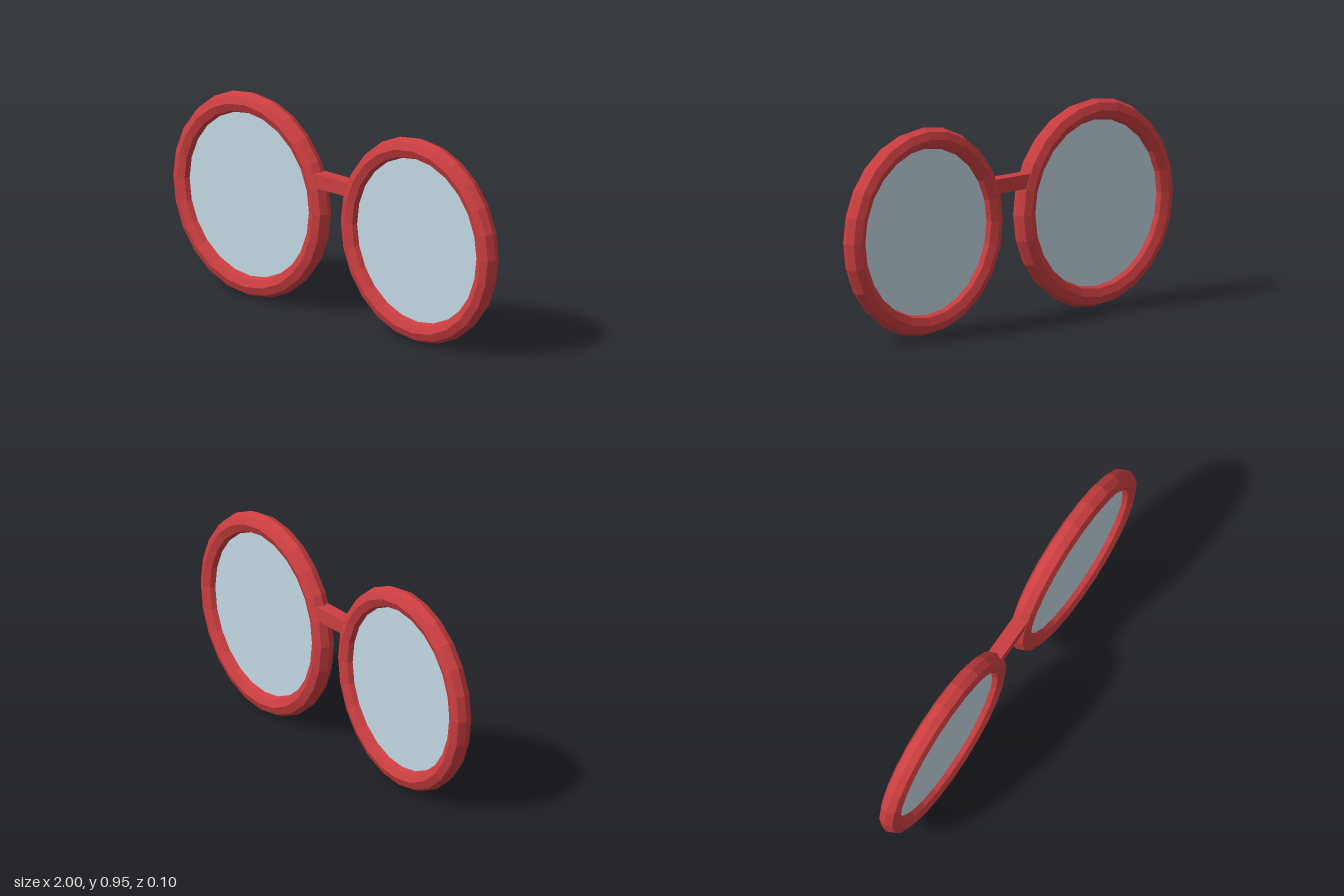
import * as THREE from 'three';

const RING_RADIUS = 0.425, TUBE = 0.05, CENTER_X = 0.525, CENTER_Y = 0.475;

export function createModel() {
  const model = new THREE.Group();
  model.name = 'roundGlasses';

  const frameRed = new THREE.MeshStandardMaterial({ color: 0xcb3e40 });
  frameRed.name = 'frameRed';
  frameRed.flatShading = true;
  const lensBlue = new THREE.MeshStandardMaterial({ color: 0xc2d7e2 });
  lensBlue.name = 'lensBlue';
  lensBlue.flatShading = true;

  const add = (name, geometry, material, x, y) => {
    const mesh = new THREE.Mesh(geometry, material);
    mesh.name = name;
    mesh.position.set(x, y, 0);
    model.add(mesh);
  };

  // Faceted rim with an octagonal section, and a thin lens set into it
  const rim = new THREE.TorusGeometry(RING_RADIUS, TUBE, 8, 24);
  const lens = new THREE.CylinderGeometry(0.395, 0.395, 0.025, 24)
    .rotateY(Math.PI / 2).rotateX(Math.PI / 2);
  for (const [side, sign] of [['left', 1], ['right', -1]]) {
    add(side + 'Rim', rim, frameRed, sign * CENTER_X, CENTER_Y);
    add(side + 'Lens', lens, lensBlue, sign * CENTER_X, CENTER_Y);
  }

  // Square bar joining the rims
  add('bridge', new THREE.BoxGeometry(0.25, 0.066, 0.066), frameRed, 0, 0.63);

  return model;
}
